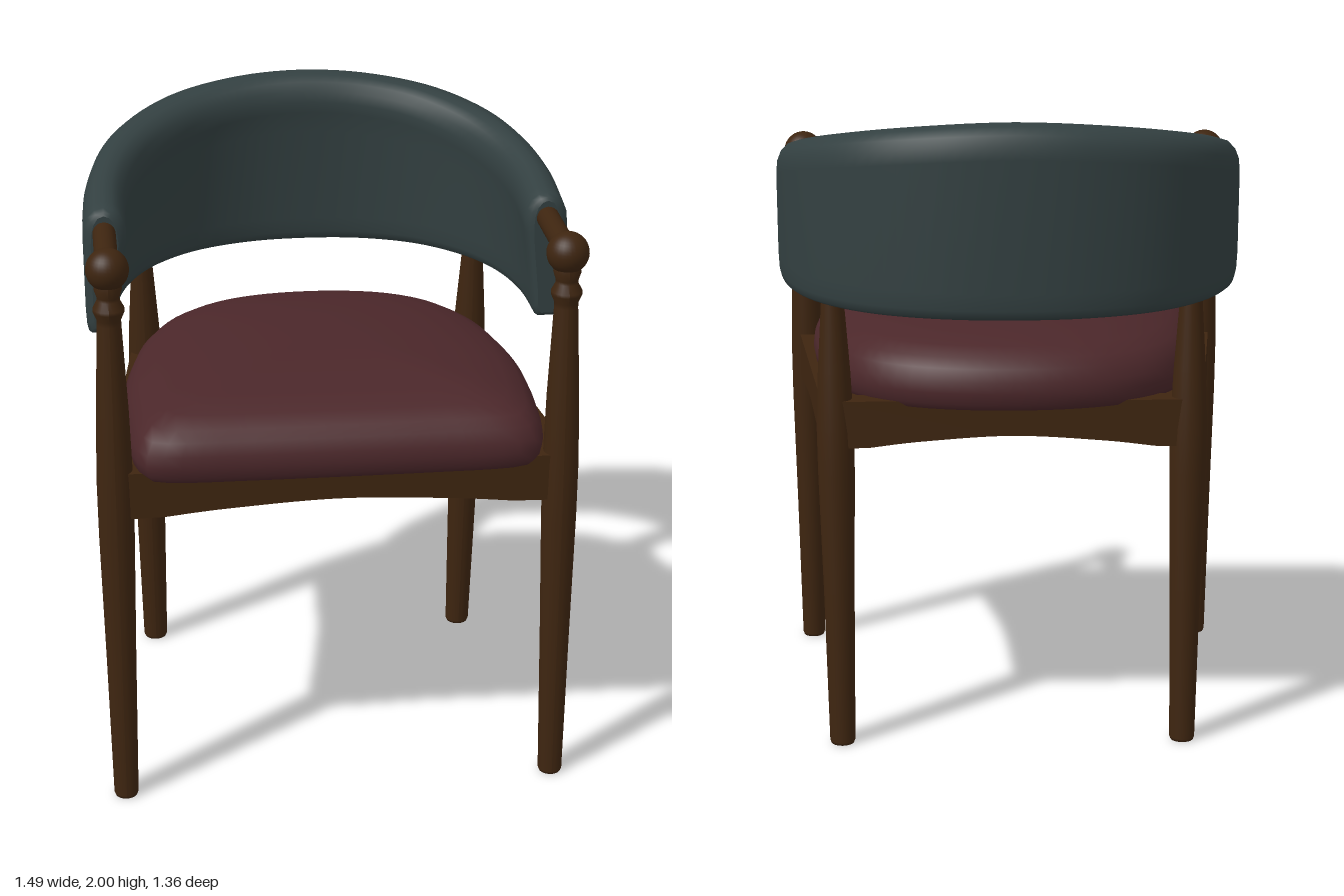
import * as THREE from 'three';

const wood = new THREE.MeshStandardMaterial({ color: 0x3e2510 });
wood.name = 'dark wood';
const teal = new THREE.MeshStandardMaterial({ color: 0x334041 });
teal.name = 'slate upholstery';
const red = new THREE.MeshStandardMaterial({ color: 0x4b272a });
red.name = 'burgundy upholstery';

const V = (x, y, z) => new THREE.Vector3(x, y, z);

function mesh(name, geometry, material) {
  const m = new THREE.Mesh(geometry, material);
  m.name = name;
  return m;
}

// Skin a list of rings (counterclockwise seen from the advancing side), with flat end caps
function loft(rings) {
  const n = rings[0].length, pos = [], idx = [];
  rings.forEach(r => r.forEach(p => pos.push(p.x, p.y, p.z)));
  for (let i = 0; i < rings.length - 1; i++) {
    for (let j = 0; j < n; j++) {
      const a = i * n + j, b = i * n + (j + 1) % n;
      idx.push(a, b, a + n, b, b + n, a + n);
    }
  }
  [rings[0], rings[rings.length - 1]].forEach((ring, end) => {
    const base = pos.length / 3;
    const c = ring.reduce((s, p) => s.add(p), V(0, 0, 0)).divideScalar(n);
    [...ring, c].forEach(p => pos.push(p.x, p.y, p.z));
    for (let j = 0; j < n; j++) {
      const a = base + j, b = base + (j + 1) % n;
      if (end) idx.push(a, b, base + n); else idx.push(b, a, base + n);
    }
  });
  const g = new THREE.BufferGeometry();
  g.setAttribute('position', new THREE.Float32BufferAttribute(pos, 3));
  g.setIndex(idx);
  g.computeVertexNormals();
  return g;
}

// Turned leg whose axis leans by a shear
function leg(profile, leanX, leanZ) {
  const g = new THREE.LatheGeometry(profile.map(p => new THREE.Vector2(...p)), 24);
  const p = g.attributes.position;
  for (let i = 0; i < p.count; i++) {
    const y = p.getY(i);
    p.setXYZ(i, p.getX(i) + leanX * y, y, p.getZ(i) + leanZ * y);
  }
  g.computeVertexNormals();
  return g;
}

// Seat rail with an arched underside, running between two plan points
function rail(name, x0, z0, x1, z1) {
  const L = Math.hypot(x1 - x0, z1 - z0);
  const s = new THREE.Shape();
  s.moveTo(0, 0.965);
  s.lineTo(L * 0.1, 0.968);
  s.splineThru([[0.25, 0.987], [0.5, 1.003], [0.75, 0.987], [0.9, 0.968]]
    .map(([t, y]) => new THREE.Vector2(t * L, y)));
  s.lineTo(L, 0.965);
  s.lineTo(L, 1.115);
  s.lineTo(0, 1.115);
  const g = new THREE.ExtrudeGeometry(s, { depth: 0.085, bevelEnabled: false, curveSegments: 10 });
  g.translate(0, 0, -0.0425);
  const m = mesh(name, g, wood);
  m.position.set(x0, 0, z0);
  m.rotation.y = Math.atan2(z0 - z1, x1 - x0);
  return m;
}

function seat() {
  const half = [[0, 0.675], [0.3, 0.673], [0.5, 0.668], [0.585, 0.65], [0.62, 0.58], [0.637, 0.4],
    [0.64, 0.2], [0.615, 0], [0.56, -0.2], [0.46, -0.36], [0.32, -0.455], [0.16, -0.5], [0, -0.512]];
  const mirrored = half.slice(1, -1).reverse().map(([x, z]) => [-x, z]);
  const curve = new THREE.CatmullRomCurve3([...half, ...mirrored].map(([x, z]) => V(x, 0, z)), true);
  const outline = curve.getSpacedPoints(80).slice(0, -1);
  const layers = [[0.92, 1.1], [0.965, 1.1], [0.99, 1.12], [1, 1.155], [0.993, 1.19], [0.965, 1.228],
    [0.92, 1.257], [0.84, 1.285], [0.7, 1.311], [0.5, 1.331], [0.25, 1.342], [0.03, 1.345]];
  return loft(layers.map(([s, y]) => outline.map(p => V(p.x * s, y, 0.08 + (p.z - 0.08) * s))));
}

function backrest() {
  const half = [[0.68, 0.233], [0.67, 0], [0.622, -0.2], [0.535, -0.36], [0.39, -0.497], [0.2, -0.575]];
  const pts = [...half, [0, -0.596], ...half.slice().reverse().map(([x, z]) => [-x, z])];
  const curve = new THREE.CatmullRomCurve3(pts.map(([x, z]) => V(x, 0, z)));
  // Section: across (fraction of thickness, outward positive), height offset, measured from top or bottom
  const section = [[0, 0, 1], [0.22, -0.008, 1], [0.38, -0.03, 1], [0.47, -0.06, 1], [0.5, -0.1, 1],
    [0.49, 0.08, 0], [0.47, 0.03, 0], [0.43, 0.008, 0], [0.36, 0, 0],
    [-0.12, 0, 0], [-0.2, 0.008, 0], [-0.25, 0.03, 0], [-0.28, 0.08, 0],
    [-0.4, -0.19, 1], [-0.48, -0.12, 1], [-0.5, -0.085, 1], [-0.46, -0.05, 1], [-0.36, -0.022, 1], [-0.2, -0.006, 1]];
  const ring = (u, inset) => {
    const c = curve.getPointAt(u), t = curve.getTangentAt(u);
    const out = V(-t.z, 0, t.x);
    const top = 1.998 - 0.18 * Math.pow(Math.max(0, (c.z + 0.596) / 0.83), 0.8) - inset;
    const thick = THREE.MathUtils.lerp(0.132, 0.17, THREE.MathUtils.smoothstep(-c.z, 0, 0.5)) - inset * 3;
    return section.map(([n, v, fromTop]) =>
      c.clone().addScaledVector(out, n * thick).setY((fromTop ? top : 1.418 + inset) + v));
  };
  const rings = [ring(0, 0.016), ring(0.003, 0.007), ring(0.009, 0)];
  for (let i = 1; i < 60; i++) rings.push(ring(0.009 + 0.982 * i / 60, 0));
  rings.push(ring(0.991, 0), ring(0.997, 0.007), ring(1, 0.016));
  return loft(rings);
}

export function createModel() {
  const chair = new THREE.Group();
  chair.name = 'armchair';
  chair.add(mesh('seatCushion', seat(), red), mesh('backrest', backrest(), teal));

  const frontProfile = [[0, 0], [0.034, 0], [0.038, 0.01], [0.046, 0.5], [0.054, 0.9], [0.055, 1.08], [0.049, 1.3],
    [0.036, 1.58], [0.036, 1.595], [0.047, 1.62], [0.047, 1.63], [0.034, 1.655], [0.034, 1.665], [0.042, 1.69], [0.036, 1.72]];
  const backProfile = [[0, 0], [0.036, 0], [0.04, 0.01], [0.048, 0.5], [0.057, 0.88], [0.058, 1.02], [0.05, 1.2],
    [0.035, 1.42], [0.033, 1.52], [0, 1.52]];

  for (const side of [1, -1]) {
    const label = side > 0 ? 'left' : 'right';
    const front = mesh(label + 'FrontLeg', leg(frontProfile, 0, -0.031), wood);
    front.position.set(side * 0.68, 0, 0.6);
    const back = mesh(label + 'BackLeg', leg(backProfile, side * 0.008, 0.043), wood);
    back.position.set(side * 0.54, 0, -0.428);

    // Ball finial and arm rod
    const ball = mesh(label + 'BallFinial', new THREE.SphereGeometry(0.064, 28, 20), wood);
    ball.position.set(side * 0.68, 1.748, 0.545);
    const rod = mesh(label + 'ArmRod', new THREE.CylinderGeometry(0.035, 0.035, 0.37, 20), wood);
    rod.rotation.x = Math.PI / 2;
    rod.position.set(side * 0.68, 1.748, 0.36);
    chair.add(front, back, ball, rod, rail(label + 'SideRail', side * 0.665, 0.565, side * 0.55, -0.385));

    // Corner braces under the cushion
    for (const [x, z, dir, name] of [[0.64, 0.54, -1, 'Front'], [0.54, -0.36, 1, 'Back']]) {
      const s = new THREE.Shape();
      s.moveTo(side * x, -z);
      s.lineTo(side * (x - 0.2), -z);
      s.quadraticCurveTo(side * (x - 0.1), -(z + dir * 0.09), side * (x - 0.02), -(z + dir * 0.2));
      const g = new THREE.ExtrudeGeometry(s, { depth: 0.09, bevelEnabled: false });
      g.rotateX(-Math.PI / 2);
      const brace = mesh(label + name + 'CornerBrace', g, wood);
      brace.position.y = 1.015;
      chair.add(brace);
    }
  }
  chair.add(rail('frontRail', -0.665, 0.56, 0.665, 0.56), rail('backRail', -0.55, -0.385, 0.55, -0.385));
  return chair;
}
